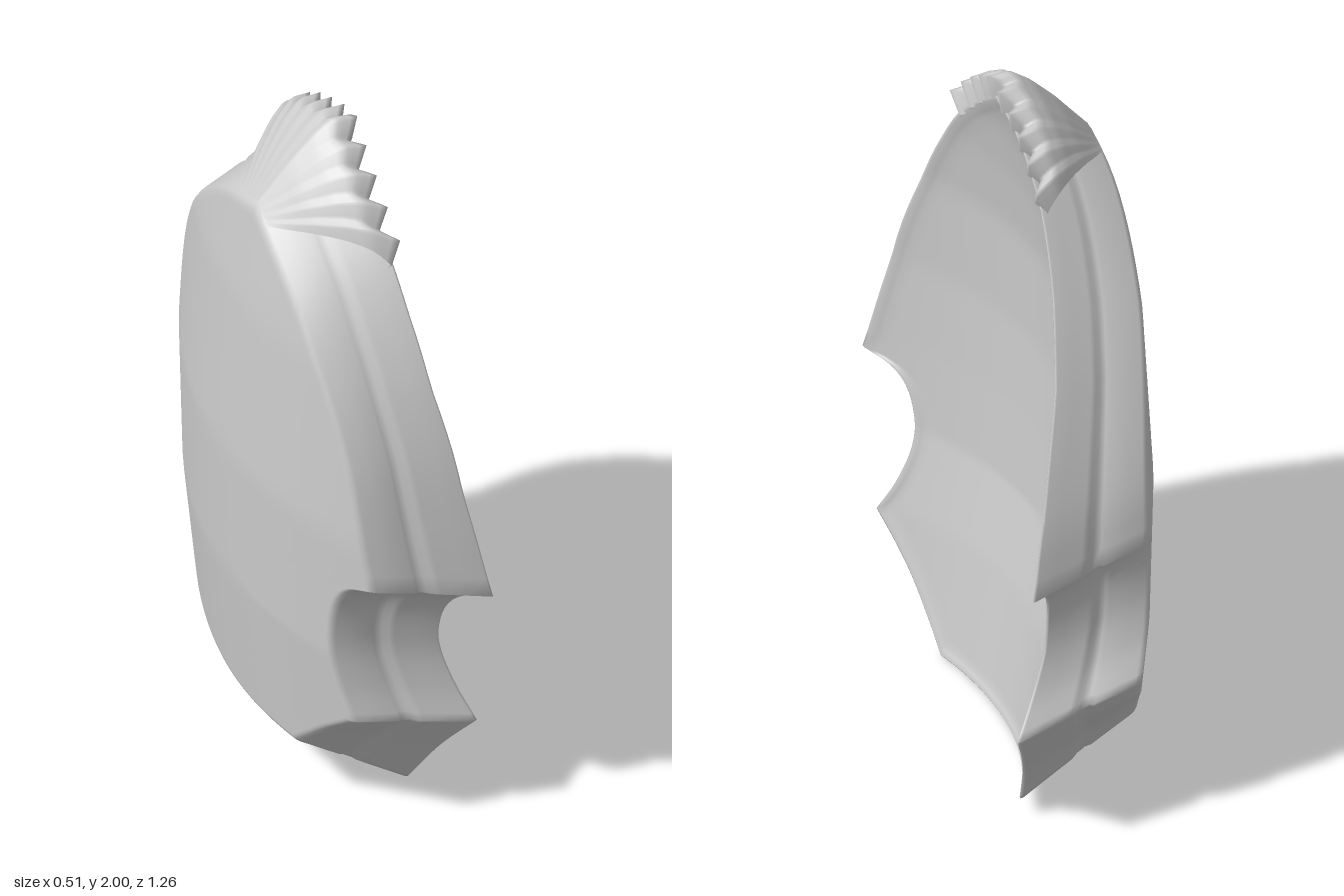
import * as THREE from 'three';

const { lerp, clamp } = THREE.MathUtils;

// Piecewise-linear lookup in [key, value] pairs
function lookup(table, v) {
  let i = 0;
  while (i < table.length - 2 && v > table[i + 1][0]) i++;
  const [a, b] = [table[i], table[i + 1]];
  return lerp(a[1], b[1], clamp((v - a[0]) / (b[0] - a[0]), 0, 1));
}

// Edge outline as (z, y) runs that meet at sharp corners
const RUNS = [
  [[0.07, 1.95], [0.2, 1.845], [0.33, 1.71], [0.45, 1.5], [0.54, 1.25], [0.59, 1.02], [0.63, 0.79]],
  [[0.63, 0.79], [0.56, 0.76], [0.515, 0.7], [0.49, 0.56], [0.508, 0.43], [0.54, 0.33]],
  [[0.54, 0.33], [0.43, 0.19], [0.36, 0.09], [0.3, 0.005]],
  [[0.3, 0.005], [0, 0.002], [-0.2, 0.02], [-0.4, 0.055]],
  [[-0.4, 0.055], [-0.45, 0.17], [-0.52, 0.28], [-0.6, 0.4]],
  [[-0.6, 0.4], [-0.55, 0.5], [-0.52, 0.62], [-0.525, 0.75], [-0.56, 0.82], [-0.63, 0.86]],
  [[-0.63, 0.86], [-0.6, 1.05], [-0.52, 1.3], [-0.4, 1.55], [-0.25, 1.75], [-0.1, 1.88], [0.07, 1.95]],
];

const MIDDLE_Y = 0.66;
// Depth of both faces along the middle, and how strongly they bend across the width
const HOLLOW_X = [[0, 0.085], [0.36, 0.03], [0.6, -0.02], [0.85, -0.035], [1.1, -0.045], [1.4, -0.037], [1.6, -0.008], [1.77, 0.027], [1.95, 0.077]];
const HOLLOW_BEND = 0.68;
const BACK_X = [[0.2, -0.2], [0.6, -0.24], [1, -0.25], [1.5, -0.222], [1.78, -0.185]];
const BACK_BEND = 0.44;
// Height on the bulging face for a height on the hollow face
const BACK_Y = [[0, 0.21], [0.33, 0.41], [0.8, 0.89], [1.05, 1.09], [1.95, 1.78]];

const OUTLINE = RUNS.flatMap(run => {
  const curve = new THREE.CatmullRomCurve3(run.map(([z, y]) => new THREE.Vector3(0, y, z)), false, 'centripetal');
  return curve.getSpacedPoints(24).slice(0, -1);
});

// s: scale about the middle, t: 0 hollow face to 1 bulging face, k: narrowing, dx: shift
function platePoint(p, [s, t, k = 1, dx = 0]) {
  const y = lerp(MIDDLE_Y, p.y, s), z = p.z * s * k;
  const yBack = lookup(BACK_Y, y);
  const front = lookup(HOLLOW_X, y) + HOLLOW_BEND * z * z;
  const back = lookup(BACK_X, yBack) + BACK_BEND * z * z;
  return [lerp(front, back, t) + dx, lerp(y, yBack, t), z];
}

// Surface through rows of points
function skin(rows, closed) {
  const n = rows[0].length, index = [];
  for (let r = 0; r < rows.length - 1; r++) {
    for (let i = 0; i < (closed ? n : n - 1); i++) {
      const j = (i + 1) % n, a = r * n + i, b = a + n, c = (r + 1) * n + j, d = r * n + j;
      index.push(a, b, c, a, c, d);
    }
  }
  const g = new THREE.BufferGeometry();
  g.setAttribute('position', new THREE.Float32BufferAttribute(rows.flat(2), 3));
  g.setIndex(index);
  g.computeVertexNormals();
  return g;
}

function plateGeometry() {
  const rings = [];
  // hollow face, slightly sunk inside its lip
  for (let i = 0; i <= 26; i++) rings.push([0.95 * i / 26, 0, 1, -0.008]);
  rings.push([0.965, 0, 1, -0.004], [0.985, 0], [0.996, 0.012], [1, 0.04]);
  // side wall with a groove around the middle
  rings.push([1, 0.2, 0.985], [1, 0.4, 0.97], [1, 0.45, 0.965], [0.995, 0.49, 0.95], [0.995, 0.56, 0.945],
    [1, 0.61, 0.955], [1, 0.8, 0.95], [1, 0.95, 0.945], [0.997, 0.985, 0.94], [0.985, 1, 0.94]);
  // bulging face
  for (let i = 20; i >= 0; i--) rings.push([0.97 * i / 20, 1, 0.94]);
  return skin(rings.map(r => OUTLINE.map(p => platePoint(p, r))), true);
}

// Pleated fan folded over the tip, with a jagged front edge
function capGeometry() {
  const across = 120, along = 18, teeth = 10, rows = [];
  const topEdge = OUTLINE.filter(p => p.y > 1.4).map(p => [p.z, p.y]).sort((a, b) => a[0] - b[0]);
  const lifts = [[0, 0], [0.35, 0.05], [0.6, 0.075], [0.8, 0.08], [1, 0.04]];
  for (let r = 0; r <= along + 1; r++) {
    const v = Math.min(r / along, 1), row = [];
    for (let i = 0; i <= across; i++) {
      const u = i / across, w = 1 - u * 2;
      const saw = 1 - 4 * Math.abs(((u * teeth) % 1) - 0.5);
      const half = lerp(0.075, 0.285, Math.pow(v, 0.9));
      const z = 0.055 + w * half;
      const p = { y: lookup(topEdge, z), z };
      const point = platePoint(p, [1, 0.96 * (1 - v), lerp(0.95, 1, v)]);
      // last row folds back down onto the plate
      const lift = r > along ? -0.015 : 0.006 + lookup(lifts, v) * (1 - 0.55 * w * w) + saw * (0.004 * v + 0.009 * v ** 4);
      point[0] += 0.016 * saw * v ** 4 - (r > along ? 0.012 : 0);
      point[1] += lift;
      point[2] += lift * w * 0.8;
      row.push(point);
    }
    rows.push(row.reverse());
  }
  return skin(rows, false);
}

export function createModel() {
  const group = new THREE.Group();
  group.name = 'curvedPlate';
  const material = new THREE.MeshStandardMaterial({ color: 0xcccccc, side: THREE.DoubleSide });
  const add = (name, geometry) => {
    const mesh = new THREE.Mesh(geometry, material);
    mesh.name = name;
    group.add(mesh);
  };
  add('plateBody', plateGeometry());
  add('pleatedTipCap', capGeometry());
  return group;
}
